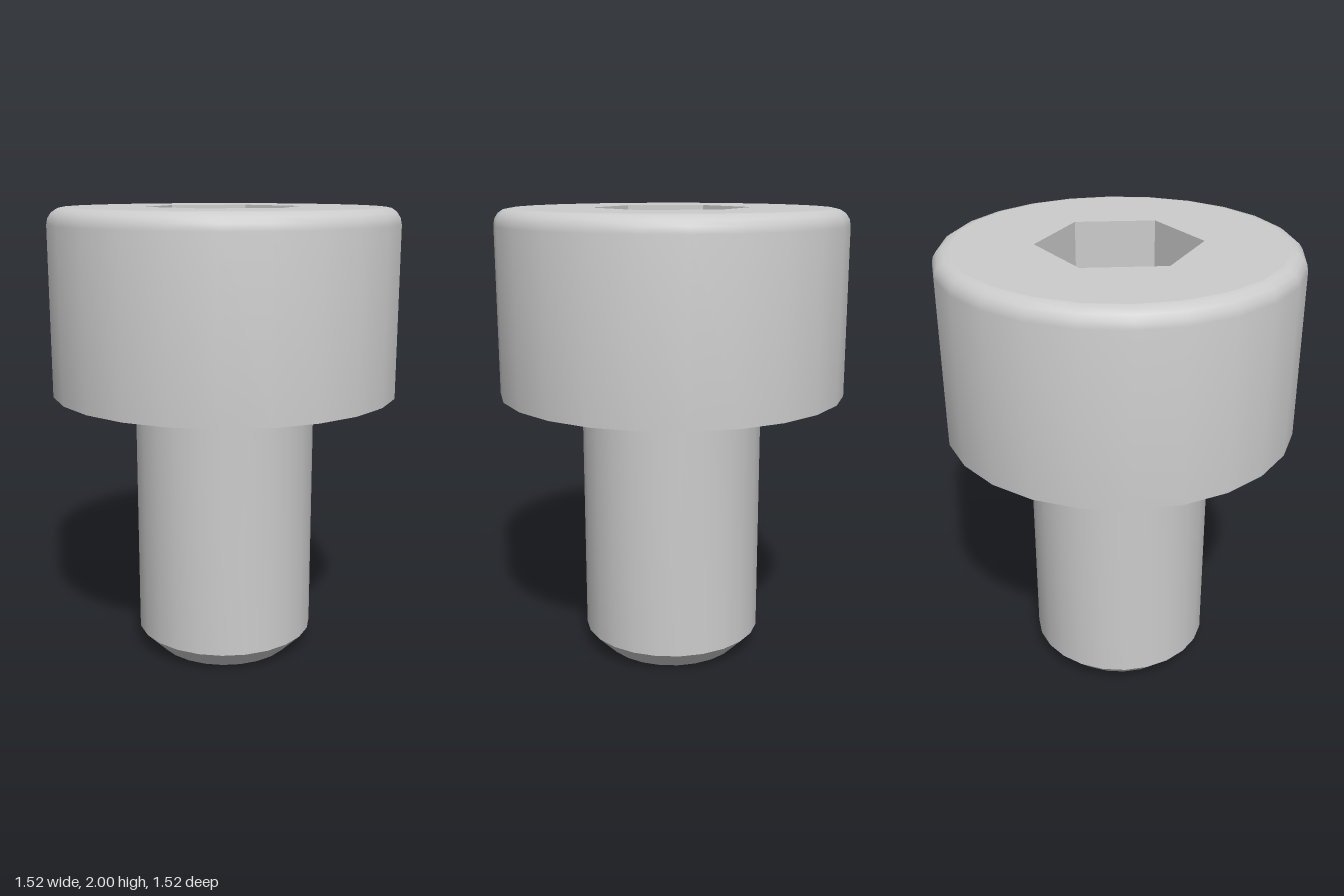
import * as THREE from 'three';
import { toCreasedNormals } from 'three/addons/utils/BufferGeometryUtils.js';

const SIDES = 24;
const HEAD_R = 0.76, HEAD_BOTTOM = 1.2, TOP = 2, FILLET = 0.07;
const SHANK_R = 0.4, CHAMFER = 0.09;
const HEX_FLAT = 0.3, SOCKET_FLOOR = 1.6, CONE_SLOPE = Math.tan(Math.PI / 6);
const HEX_R = HEX_FLAT / Math.cos(Math.PI / 6);

// Points of a regular polygon in the XY plane, with a corner on +y
function polygon(radius, n) {
  return Array.from({ length: n }, (_, i) => {
    const a = (i / n) * Math.PI * 2;
    return new THREE.Vector2(radius * Math.sin(a), radius * Math.cos(a));
  });
}

// Turned body with smooth sides and sharp corners
function turned(profile) {
  const points = profile.map(([r, y]) => new THREE.Vector2(r, y));
  return toCreasedNormals(new THREE.LatheGeometry(points, SIDES), 0.6);
}

// Hexagonal walls going down to a shallow conical floor
function socketGeometry() {
  const corners = polygon(HEX_R, 6), steps = 4, pos = [];
  const apex = [0, SOCKET_FLOOR - HEX_R * CONE_SLOPE, 0];
  const floorPoint = (p) => [p.x, SOCKET_FLOOR - (HEX_R - p.length()) * CONE_SLOPE, p.y];
  const rimPoint = (p) => [p.x, TOP, p.y];
  for (let i = 0; i < 6; i++) {
    for (let j = 0; j < steps; j++) {
      const p = corners[i].clone().lerp(corners[(i + 1) % 6], j / steps);
      const q = corners[i].clone().lerp(corners[(i + 1) % 6], (j + 1) / steps);
      const b0 = floorPoint(p), b1 = floorPoint(q), t0 = rimPoint(p), t1 = rimPoint(q);
      pos.push(...b1, ...b0, ...t0, ...b1, ...t0, ...t1); // wall
      pos.push(...b0, ...b1, ...apex); // floor
    }
  }
  const g = new THREE.BufferGeometry();
  g.setAttribute('position', new THREE.Float32BufferAttribute(pos, 3));
  return toCreasedNormals(g, 0.6);
}

export function createModel() {
  const steel = new THREE.MeshStandardMaterial({ color: 0xcccccc });
  steel.name = 'steel grey';
  const model = new THREE.Group();
  model.name = 'socketHeadScrew';
  const add = (name, geometry) => {
    const mesh = new THREE.Mesh(geometry, steel);
    mesh.name = name;
    model.add(mesh);
    return mesh;
  };

  // Shank with a chamfered tip
  add('shank', turned([
    [0, 0], [SHANK_R - CHAMFER, 0], [SHANK_R, CHAMFER], [SHANK_R, HEAD_BOTTOM],
  ]));

  // Head: flat underside, straight side, rounded top edge
  const headProfile = [[SHANK_R, HEAD_BOTTOM], [HEAD_R, HEAD_BOTTOM]];
  for (let i = 0; i <= 4; i++) {
    const a = (i / 4) * Math.PI / 2;
    headProfile.push([
      HEAD_R - FILLET + FILLET * Math.cos(a),
      TOP - FILLET + FILLET * Math.sin(a),
    ]);
  }
  add('head', turned(headProfile));

  // Flat top face around the socket opening
  const face = new THREE.Shape(polygon(HEAD_R - FILLET, SIDES));
  face.holes.push(new THREE.Path(polygon(HEX_R, 6)));
  const faceGeometry = new THREE.ShapeGeometry(face);
  faceGeometry.rotateX(-Math.PI / 2);
  add('headTop', faceGeometry).position.y = TOP;

  add('hexSocket', socketGeometry());
  return model;
}
